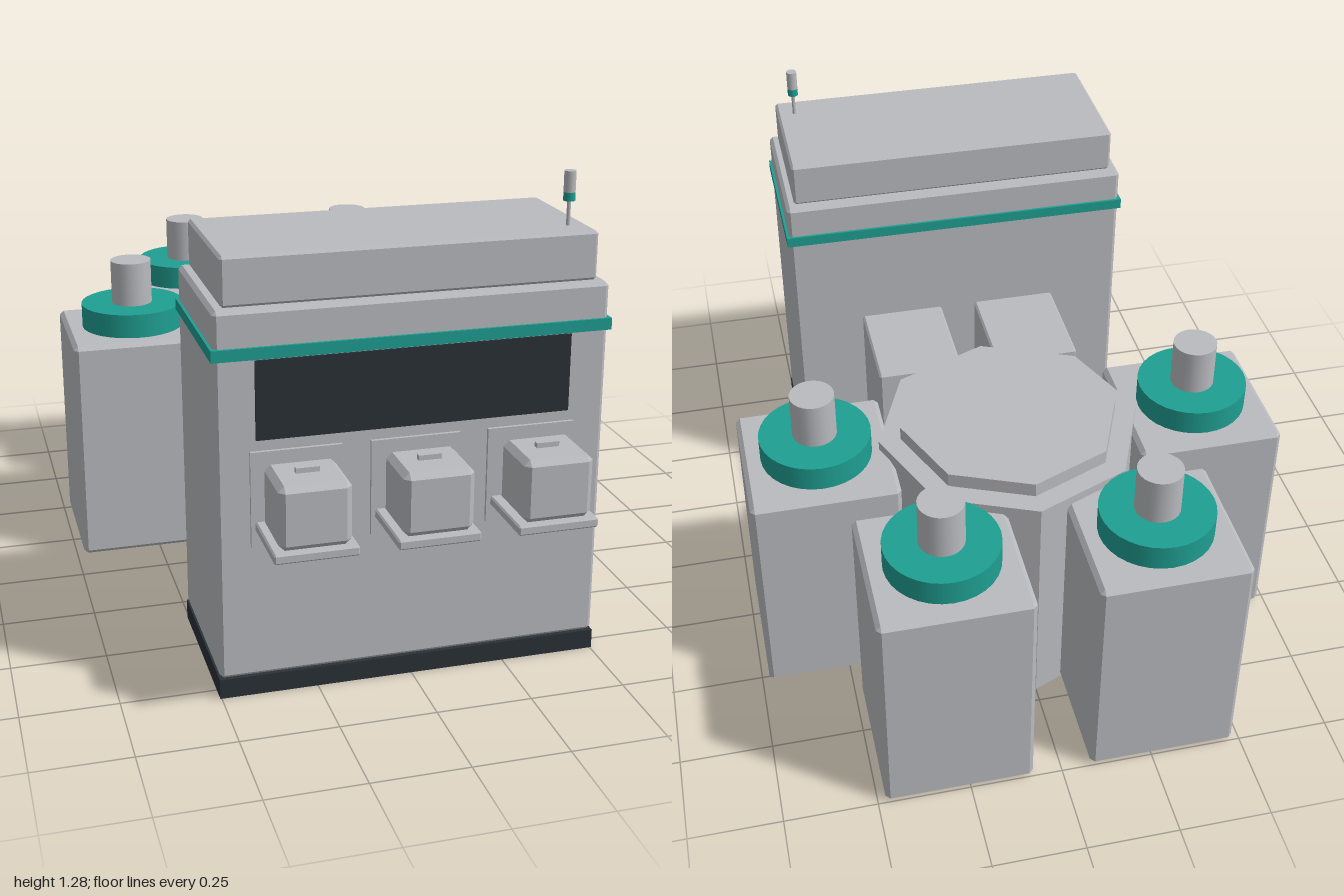
import * as THREE from 'three';
import { ConvexGeometry } from 'three/addons/geometries/ConvexGeometry.js';

const material = (name, color) => {
  const m = new THREE.MeshStandardMaterial({ color });
  m.name = name;
  return m;
};

// Box with chamfered edges and corners
function chamferBox(w, h, d, c) {
  const points = [];
  const x = w / 2, y = h / 2, z = d / 2;
  for (const sx of [-1, 1]) for (const sy of [-1, 1]) for (const sz of [-1, 1]) {
    points.push(
      new THREE.Vector3(sx * x, sy * (y - c), sz * (z - c)),
      new THREE.Vector3(sx * (x - c), sy * y, sz * (z - c)),
      new THREE.Vector3(sx * (x - c), sy * (y - c), sz * z));
  }
  return new ConvexGeometry(points);
}

export function createModel() {
  const grey = material('lightGrey', 0xbabbbf);
  const teal = material('teal', 0x1f9f92);
  const dark = material('darkSlate', 0x2a3138);
  const model = new THREE.Group();
  model.name = 'processingMachine';

  const group = (name, x, z) => {
    const g = new THREE.Group();
    g.name = name;
    g.position.set(x, 0, z);
    model.add(g);
    return g;
  };
  // Both helpers take the bottom and top heights of the part
  const box = (parent, name, mat, x, z, w, d, y0, y1, chamfer = 0) => {
    const h = y1 - y0;
    const geo = chamfer ? chamferBox(w, h, d, chamfer) : new THREE.BoxGeometry(w, h, d);
    const mesh = new THREE.Mesh(geo, mat);
    mesh.name = name;
    mesh.position.set(x, (y0 + y1) / 2, z);
    parent.add(mesh);
  };
  const cylinder = (parent, name, mat, x, z, r, y0, y1, sides = 32) => {
    let geo = new THREE.CylinderGeometry(r, r, y1 - y0, sides);
    if (sides <= 8) {
      geo = geo.toNonIndexed();
      geo.computeVertexNormals();
    }
    const mesh = new THREE.Mesh(geo, mat);
    mesh.name = name;
    mesh.position.set(x, (y0 + y1) / 2, z);
    parent.add(mesh);
  };

  // Front cabinet
  const cabinet = group('cabinet', 0, 0.568);
  box(cabinet, 'plinth', dark, 0, 0, 1.008, 0.455, 0, 0.052);
  box(cabinet, 'cabinetBody', grey, 0, 0, 1.004, 0.45, 0.052, 1.012, 0.01);
  box(cabinet, 'band', teal, 0, 0, 1.018, 0.464, 0.89, 0.92);
  box(cabinet, 'roofUnit', grey, 0, 0, 0.955, 0.4, 1.012, 1.137, 0.007);
  box(cabinet, 'window', dark, 0, 0.226, 0.806, 0.008, 0.685, 0.887);

  // Signal light on the roof
  const signal = group('signalLight', 0.427, 0.69);
  cylinder(signal, 'pole', grey, 0, 0, 0.005, 1.13, 1.203, 12);
  cylinder(signal, 'lowerLamp', teal, 0, 0, 0.015, 1.2, 1.222, 16);
  cylinder(signal, 'upperLamp', grey, 0, 0, 0.015, 1.222, 1.276, 16);

  // Loading ports, each with a shelf and a carrier
  for (const x of [-0.304, 0, 0.304]) {
    const port = group('loadingPort', x, 0);
    box(port, 'backPlate', grey, 0, 0.796, 0.23, 0.012, 0.407, 0.657);
    box(port, 'shelf', grey, 0, 0.898, 0.208, 0.2, 0.45, 0.475, 0.004);
    box(port, 'carrier', grey, 0, 0.908, 0.178, 0.166, 0.475, 0.638, 0.015);
    box(port, 'handle', grey, 0, 0.902, 0.058, 0.016, 0.636, 0.651);
  }

  // Transfer boxes between cabinet and hub
  for (const s of [-1, 1]) {
    box(model, 'transferBox', grey, s * 0.175, 0.188, 0.246, 0.312, 0.004, 0.606, 0.006);
  }

  // Octagonal hub
  const hub = group('hub', 0, -0.348);
  cylinder(hub, 'hubBody', grey, 0, 0, 0.362, 0, 0.682, 8);
  cylinder(hub, 'hubLid', grey, 0, 0, 0.302, 0.682, 0.722, 8);

  // Process chambers, mirrored left and right
  for (const s of [-1, 1]) for (const [x, z] of [[0.53, -0.323], [0.279, -0.802]]) {
    const chamber = group('chamber', s * x, z);
    box(chamber, 'chamberBody', grey, 0, 0, 0.4, 0.4, 0.004, 0.657, 0.012);
    cylinder(chamber, 'collar', teal, 0, 0, 0.151, 0.655, 0.727);
    cylinder(chamber, 'post', grey, 0, 0, 0.06, 0.727, 0.856, 24);
  }
  return model;
}
